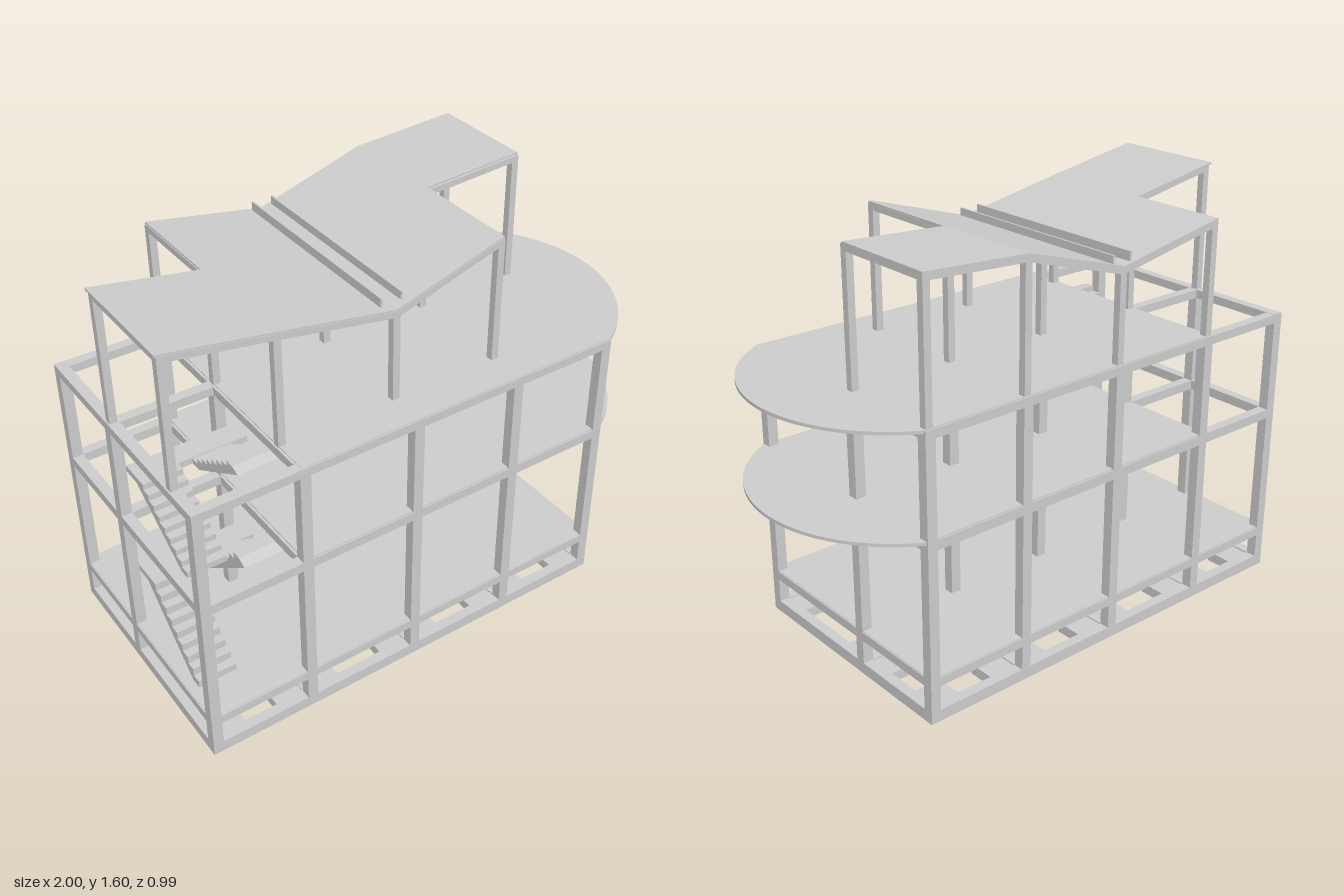
import * as THREE from 'three';

const mat = new THREE.MeshStandardMaterial({ color: 0xcccccc, flatShading: true });
const XS = [-0.98, -0.59, -0.14, 0.285, 0.69]; // column grid across
const ZS = [0.476, -0.08, -0.476]; // column grid in depth
const W = 0.02; // half width of columns and beams

// Roof section as [x, y]: high left side, valley, ridge, gentle right side
const ROOF = [[-1, 1.598], [-0.59, 1.527], [-0.14, 1.445], [0.285, 1.573], [0.705, 1.598]];

function roofY(x) {
  let i = 0;
  while (i < ROOF.length - 2 && x > ROOF[i + 1][0]) i++;
  const [a, b] = [ROOF[i], ROOF[i + 1]];
  return a[1] + (b[1] - a[1]) * (x - a[0]) / (b[0] - a[0]);
}

function add(group, name, geometry) {
  const mesh = new THREE.Mesh(geometry, mat);
  mesh.name = name;
  group.add(mesh);
  return mesh;
}

// Box given by its limits on each axis
function box(group, name, x0, x1, y0, y1, z0, z1) {
  const mesh = add(group, name, new THREE.BoxGeometry(x1 - x0, y1 - y0, z1 - z0));
  mesh.position.set((x0 + x1) / 2, (y0 + y1) / 2, (z0 + z1) / 2);
  return mesh;
}

function extrude(points, depth) {
  const shape = new THREE.Shape(points.map(p => new THREE.Vector2(p[0], p[1])));
  return new THREE.ExtrudeGeometry(shape, { depth, bevelEnabled: false });
}

// Sloping band that follows the roof from x0 to x1
function roofBand(group, name, x0, x1, z0, z1, top, bottom) {
  const xs = [x0, ...ROOF.map(p => p[0]).filter(x => x > x0 + 0.001 && x < x1 - 0.001), x1];
  const low = xs.map(x => [x, roofY(x) - bottom]);
  const high = xs.map(x => [x, roofY(x) - top]).reverse();
  add(group, name, extrude([...low, ...high], z1 - z0)).position.z = z0;
}

// Beams along every grid line at one level
function beamGrid(group, name, y0, y1) {
  for (const z of ZS) box(group, name, -1, 0.71, y0, y1, z - W, z + W);
  for (const x of XS) box(group, name, x - W, x + W, y0, y1, -0.496, 0.496);
}

// Upper floor with a rounded end, leaving the stair bay open
function roundedFloor(group, y) {
  const r = 0.56, cx = 0.44, a = Math.asin(0.49 / r);
  const shape = new THREE.Shape();
  shape.moveTo(-0.6, -0.49);
  shape.lineTo(cx + r * Math.cos(a), -0.49);
  shape.absarc(cx, 0, r, -a, a, false);
  shape.lineTo(-0.6, 0.49);
  const g = new THREE.ExtrudeGeometry(shape, { depth: 0.012, bevelEnabled: false, curveSegments: 32 });
  g.rotateX(-Math.PI / 2);
  add(group, 'roundedFloor', g).position.y = y - 0.011;
}

// Stepped flight from (z0, y0) up to (z1, y1), between x0 and x1
function flight(group, x0, x1, z0, y0, z1, y1, steps) {
  const rise = (y1 - y0) / steps, run = (z1 - z0) / steps;
  const pts = [[z0, y0]];
  for (let i = 0; i < steps; i++) {
    pts.push([z0 + run * i, y0 + rise * (i + 1)], [z0 + run * (i + 1), y0 + rise * (i + 1)]);
  }
  pts.push([z1 + run, y1 - rise * 0.6], [z0 + run * 1.2, y0]);
  const g = extrude(pts, x1 - x0);
  g.rotateY(-Math.PI / 2);
  add(group, 'stairFlight', g).position.x = x1;
}

// Two flights around a half landing
function staircase(group, y0, yMid, y1) {
  flight(group, -0.96, -0.81, 0.34, y0, 0.03, yMid, 9);
  box(group, 'stairLanding', -0.96, -0.54, yMid - 0.025, yMid, -0.06, 0.03);
  flight(group, -0.755, -0.605, 0.03, yMid - 0.025, 0.315, y1 - 0.03, 8);
}

export function createModel() {
  const model = new THREE.Group();
  const sub = name => {
    const g = new THREE.Group();
    g.name = name;
    model.add(g);
    return g;
  };

  // Foundations: ground beams and footing pads, flush with the outline
  const base = sub('foundation');
  beamGrid(base, 'groundBeam', 0, 0.045);
  for (const x of XS) for (const z of ZS) {
    box(base, 'footingPad', Math.max(-1, x - 0.13), Math.min(0.71, x + 0.13), 0.001, 0.04,
      Math.max(-0.495, z - 0.13), Math.min(0.495, z + 0.13));
  }

  // Columns and beams of the main storeys
  const frame = sub('frame');
  for (const x of XS) for (const z of ZS) box(frame, 'column', x - W, x + W, 0.001, 1.089, z - W, z + W);
  beamGrid(frame, 'lowerFloorBeam', 0.14, 0.175);
  beamGrid(frame, 'middleFloorBeam', 0.66, 0.697);
  beamGrid(frame, 'upperFloorBeam', 1.055, 1.088);

  // Floors
  const floors = sub('floors');
  box(floors, 'lowerFloor', -0.995, 0.705, 0.16, 0.177, -0.49, 0.49);
  roundedFloor(floors, 0.7);
  roundedFloor(floors, 1.09);
  for (let i = 1; i < 13; i++) {
    const z = -0.476 + i * 0.0732;
    if (Math.abs(z + 0.08) > 0.03) box(floors, 'joist', -0.59, 0.69, 1.058, 1.08, z - 0.008, z + 0.008);
  }

  // Stairs
  const stairs = sub('stairs');
  staircase(stairs, 0.175, 0.453, 0.69);
  staircase(stairs, 0.697, 0.905, 1.085);

  // Slender columns that carry the roof
  const top = sub('roofFrame');
  const roofZ = [0.343, -0.08, -0.476];
  const H = 0.014;
  XS.forEach((x, i) => roofZ.forEach((z, j) => {
    if ((i === 0 && j === 2) || (i === 4 && j === 0)) return;
    const y = Math.min(roofY(x - H), roofY(x + H)) - 0.006;
    box(top, 'roofColumn', x - H, x + H, 1.085, y, z - H, z + H);
  }));

  // Sloping beams along each row of columns
  const rows = [[-0.99, 0.295], [-0.99, 0.7], [-0.6, 0.7]];
  roofZ.forEach((z, j) => roofBand(top, 'rafter', rows[j][0], rows[j][1], z - H, z + H, 0.006, 0.03));

  // Cross beams in depth
  XS.forEach((x, i) => {
    const z0 = i === 0 ? -0.09 : -0.485, z1 = i === 4 ? -0.07 : 0.355;
    roofBand(top, 'crossBeam', x - H, x + H, z0, z1, 0.006, 0.03);
  });

  // Thin roof sheets in three stepped strips
  const roof = sub('roof');
  roofBand(roof, 'leftRoof', -1, -0.6, -0.1, 0.355, 0, 0.008);
  roofBand(roof, 'middleRoof', -0.6, 0.298, -0.492, 0.355, 0, 0.008);
  roofBand(roof, 'rightRoof', 0.298, 0.705, -0.492, -0.075, 0, 0.008);

  // Upstands on both sides of the valley gutter
  for (const x of [-0.18, -0.1]) {
    box(roof, 'gutterUpstand', x - 0.004, x + 0.004, roofY(x) - 0.006, 1.487, -0.48, 0.325);
  }
  return model;
}
